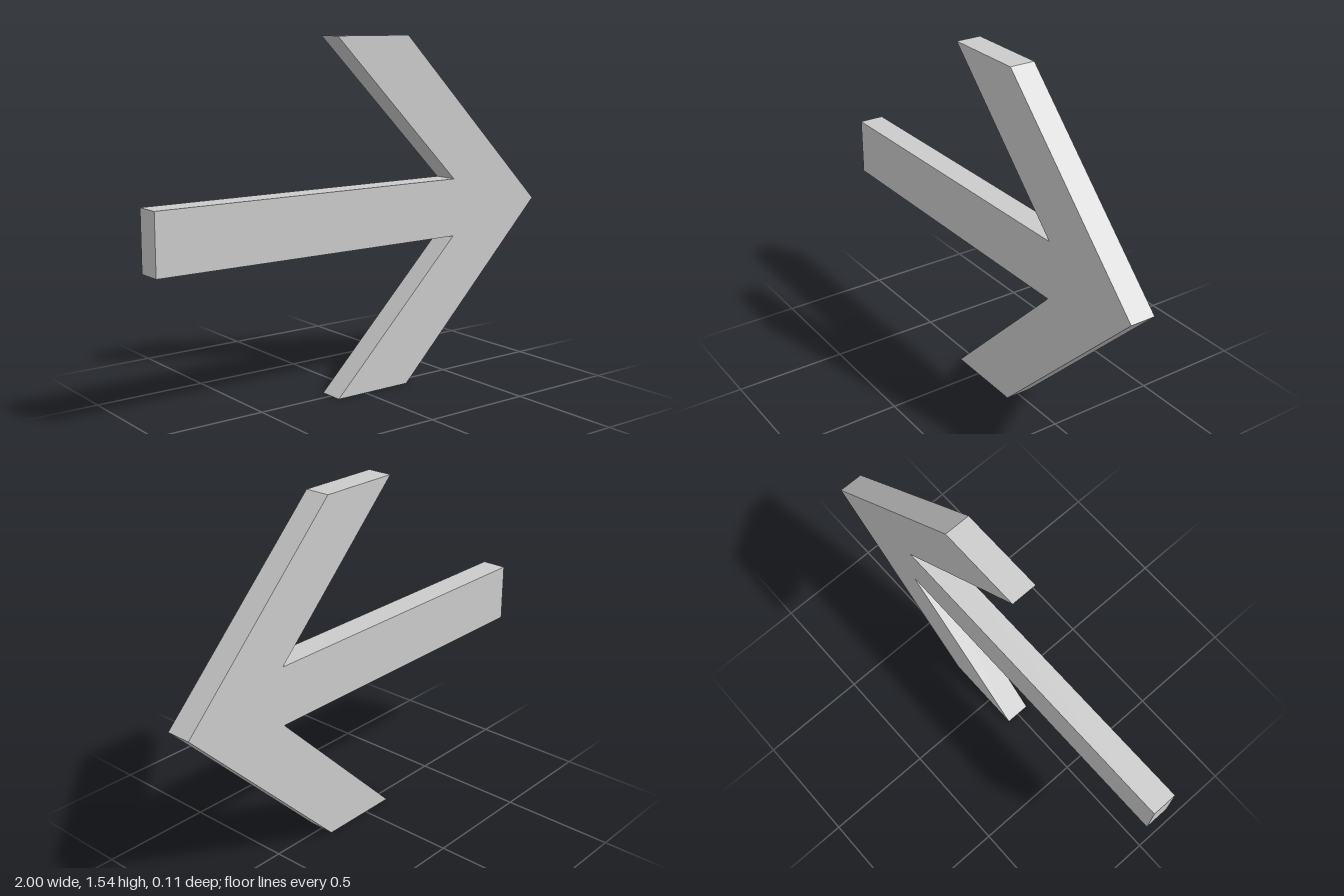
import * as THREE from 'three';

export function createModel() {
  const group = new THREE.Group();
  const mid = 0.77, depth = 0.114;

  // Upper half of the outline, tail to tip, as offsets from the centre line
  const half = [[-1, 0.13], [0.5, 0.13], [-0.145, 0.77], [0.23, 0.77]];
  const outline = [
    ...half.map(([x, y]) => new THREE.Vector2(x, mid + y)),
    new THREE.Vector2(1, mid),
    ...half.map(([x, y]) => new THREE.Vector2(x, mid - y)).reverse(),
  ];

  // Flat arrow plate with sharp edges
  const geometry = new THREE.ExtrudeGeometry(new THREE.Shape(outline), { depth, bevelEnabled: false });
  geometry.translate(0, 0, -depth / 2);
  const arrow = new THREE.Mesh(geometry, new THREE.MeshStandardMaterial({ color: 0xcccccc }));
  arrow.name = 'arrow';
  group.add(arrow);
  return group;
}
